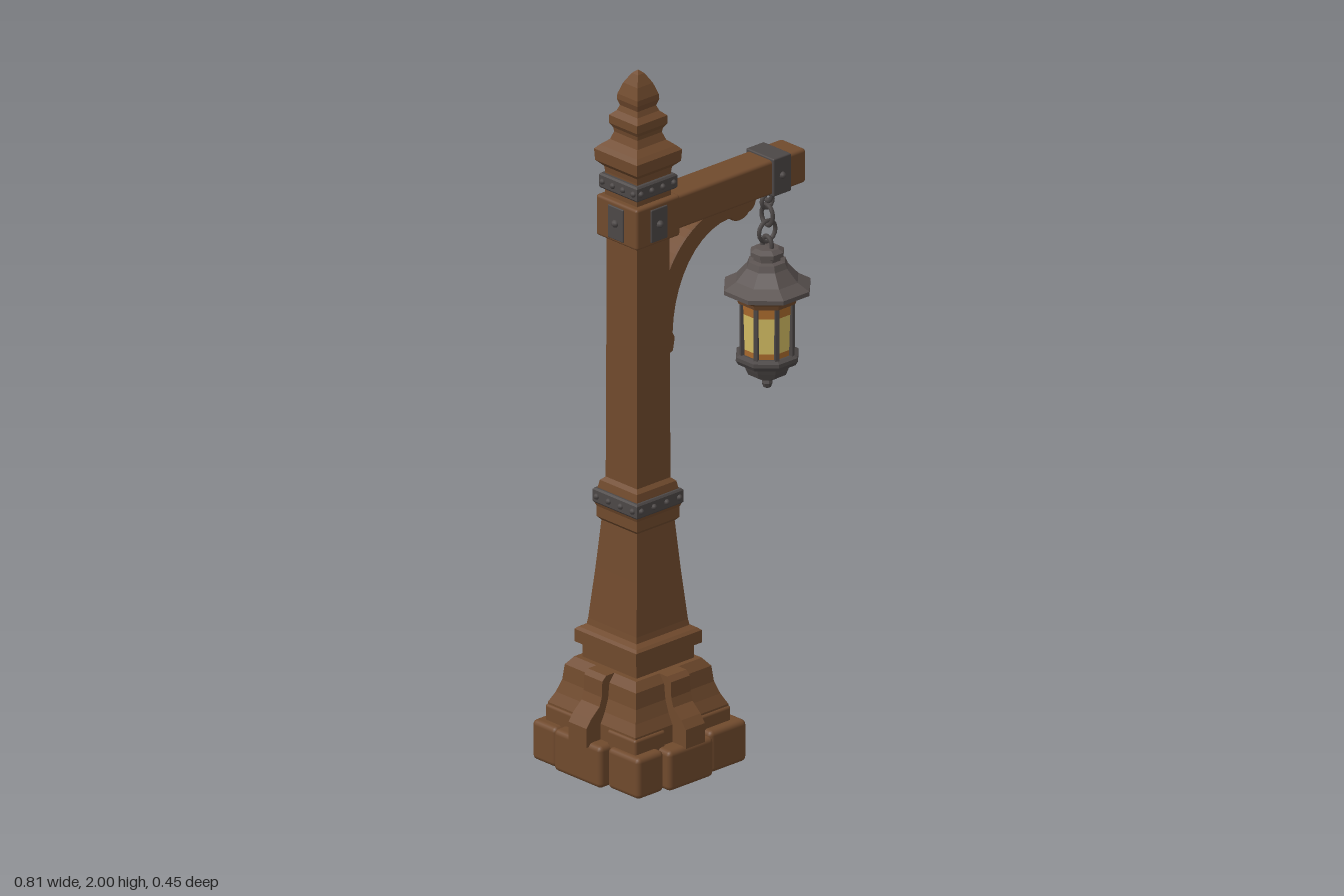
import * as THREE from 'three';
import { RoundedBoxGeometry } from 'three/addons/geometries/RoundedBoxGeometry.js';

const mat = (name, color) => Object.assign(new THREE.MeshStandardMaterial({ color }), { name });

export function createModel() {
  const wood = mat('wood', 0x704a2d);
  const metal = mat('dark metal', 0x4c4746);
  const roofMetal = mat('roof metal', 0x5a5250);
  const glass = mat('glowing glass', 0xd2bb62);
  const amber = mat('amber glass', 0xa8692c);
  const root = new THREE.Group();
  root.name = 'streetLamp';
  const POST = -0.183, LAMP = 0.29;

  function add(parent, name, geo, material, x = 0, y = 0, z = 0) {
    const m = new THREE.Mesh(geo, material);
    m.name = name;
    m.position.set(x, y, z);
    parent.add(m);
    return m;
  }
  // Flat-faced prism from a profile of [half width, height], sides facing the axes
  function prism(sides, profile) {
    const k = 1 / Math.cos(Math.PI / sides);
    const pts = profile.map(([r, y]) => new THREE.Vector2(r * k, y));
    const g = new THREE.LatheGeometry(pts, sides, Math.PI / sides).toNonIndexed();
    g.computeVertexNormals();
    return g;
  }
  // Rounded block from its limits
  function block(parent, name, material, x0, x1, y0, y1, z0, z1, r = 0.008) {
    return add(parent, name, new RoundedBoxGeometry(x1 - x0, y1 - y0, z1 - z0, 2, r), material,
      (x0 + x1) / 2, (y0 + y1) / 2, (z0 + z1) / 2);
  }
  function group(name, x) {
    const g = new THREE.Group();
    g.name = name;
    g.position.x = x;
    root.add(g);
    return g;
  }
  const rivetGeo = new THREE.SphereGeometry(0.0085, 8, 6);

  // Foundation stones, irregular three by three grid
  const base = group('base', 0);
  [
    [-0.385, -0.278, 0.115, -0.2, -0.106],
    [-0.266, -0.1, 0.12, -0.225, -0.1],
    [-0.1, 0.035, 0.113, -0.205, -0.106],
    [-0.397, -0.26, 0.12, -0.104, 0.08],
    [-0.1, 0.042, 0.118, -0.104, 0.064],
    [-0.375, -0.278, 0.118, 0.082, 0.204],
    [-0.276, -0.112, 0.115, 0.08, 0.221],
    [-0.11, 0.024, 0.12, 0.066, 0.205],
    [-0.262, -0.102, 0.11, -0.1, 0.08],
  ].forEach(([x0, x1, h, z0, z1]) => block(base, 'foundationStone', wood, x0, x1, 0, h, z0, z1, 0.014));

  // Tapered plinth and its four buttresses
  const post = group('post', POST);
  add(post, 'plinth', prism(4, [[0, 0.1], [0.17, 0.1], [0.17, 0.165], [0.155, 0.195], [0.143, 0.23],
    [0.138, 0.275], [0.12, 0.298], [0, 0.298]]), wood);
  const buttress = new THREE.Shape([[0.05, 0.11], [0.222, 0.11], [0.222, 0.165], [0.205, 0.188], [0.174, 0.215],
    [0.166, 0.24], [0.164, 0.285], [0.15, 0.298], [0.05, 0.298]].map(p => new THREE.Vector2(...p)));
  const buttressGeo = new THREE.ExtrudeGeometry(buttress, { depth: 0.07, bevelEnabled: false });
  buttressGeo.translate(0, 0, -0.035);
  for (let i = 0; i < 4; i++) {
    add(post, 'buttress', buttressGeo, wood).rotation.y = i * Math.PI / 2;
    // Low corner stones beside the buttresses
    const s = i < 2 ? -1 : 1, t = i % 2 ? 1 : -1;
    block(post, 'cornerStone', wood, s * 0.12 - 0.056, s * 0.12 + 0.056, 0.1, 0.16, t * 0.12 - 0.056, t * 0.12 + 0.056);
  }

  // Shaft with lower mouldings
  add(post, 'shaft', prism(4, [[0, 0.29], [0.105, 0.29], [0.105, 0.335], [0.12, 0.342], [0.12, 0.378], [0.112, 0.385],
    [0.097, 0.393], [0.094, 0.41], [0.08, 0.56], [0.069, 0.695], [0.078, 0.705], [0.078, 0.735], [0.082, 0.745],
    [0.076, 0.79], [0.072, 0.81], [0.061, 0.82], [0.059, 1.53], [0, 1.53]]), wood);

  // Riveted bands around the post
  function band(y0, y1, half) {
    const y = (y0 + y1) / 2;
    add(post, 'metalBand', prism(4, [[0, y0], [half - 0.004, y0], [half, y0 + 0.005], [half, y1 - 0.005],
      [half - 0.004, y1], [0, y1]]), metal);
    for (let side = 0; side < 4; side++) {
      const g = new THREE.Group();
      g.name = 'bandRivets';
      g.rotation.y = side * Math.PI / 2;
      post.add(g);
      for (let i = 0; i < 4; i++) add(g, 'rivet', rivetGeo, metal, (i - 1.5) * half * 0.54, y, half);
    }
  }
  band(0.745, 0.788, 0.086);
  band(1.657, 1.7, 0.074);

  // Head block with a plate on every free side
  block(post, 'headBlock', wood, -0.08, 0.08, 1.52, 1.638, -0.08, 0.08);
  for (let i = 0; i < 3; i++) {
    const g = new THREE.Group();
    g.name = 'headPlate';
    g.rotation.y = -i * Math.PI / 2;
    post.add(g);
    block(g, 'plate', metal, -0.03, 0.03, 1.53, 1.625, 0.076, 0.084, 0.003);
    add(g, 'plateRivet', rivetGeo, metal, 0, 1.578, 0.084).scale.setScalar(1.3);
  }

  // Finial
  add(post, 'finial', prism(4, [[0, 1.63], [0.062, 1.63], [0.062, 1.705], [0.064, 1.72], [0.081, 1.737], [0.083, 1.77],
    [0.072, 1.782], [0.053, 1.798], [0.045, 1.82], [0.047, 1.832], [0.055, 1.845], [0.055, 1.868], [0.04, 1.882],
    [0.034, 1.897], [0.04, 1.915], [0.039, 1.93], [0.028, 1.962], [0.012, 1.99], [0, 2]]), wood);

  // Beam, end strap and curved brace
  const arm = group('arm', 0);
  block(arm, 'beam', wood, -0.13, 0.388, 1.52, 1.618, -0.048, 0.048, 0.009);
  block(arm, 'endStrap', metal, 0.263, 0.328, 1.515, 1.624, -0.054, 0.054, 0.004);
  for (const s of [-1, 1]) add(arm, 'strapRivet', rivetGeo, metal, 0.295, 1.57, s * 0.054).scale.setScalar(1.2);

  const brace = new THREE.Shape();
  brace.moveTo(-0.126, 1.15);
  brace.lineTo(-0.083, 1.165);
  brace.lineTo(-0.076, 1.2);
  brace.lineTo(-0.084, 1.215);
  brace.bezierCurveTo(-0.08, 1.36, 0.0, 1.485, 0.13, 1.488);
  brace.bezierCurveTo(0.145, 1.468, 0.18, 1.465, 0.195, 1.485);
  brace.quadraticCurveTo(0.222, 1.49, 0.222, 1.524);
  brace.lineTo(0.06, 1.524);
  brace.bezierCurveTo(-0.03, 1.5, -0.09, 1.43, -0.118, 1.35);
  brace.lineTo(-0.126, 1.34);
  const braceGeo = new THREE.ExtrudeGeometry(brace, {
    depth: 0.05, bevelSize: 0.003, bevelThickness: 0.004, bevelSegments: 1, curveSegments: 10 });
  add(arm, 'brace', braceGeo, wood, 0, 0, -0.025);

  // Chain: alternating links
  const lantern = group('lantern', LAMP);
  [[1.505, 0.018, 1], [1.481, 0.02, 0], [1.44, 0.022, 1], [1.393, 0.03, 0], [1.354, 0.018, 1]].forEach(([y, r, turned]) => {
    const link = add(lantern, 'chainLink', new THREE.TorusGeometry(r, 0.006, 6, 16), metal, 0, y, 0);
    link.rotation.y = turned * Math.PI / 2;
    if (turned) link.scale.y = 1.3;
  });

  // Eight-sided roof, eaves and lower cup
  add(lantern, 'lanternRoof', prism(8, [[0.114, 1.226], [0.114, 1.238], [0.082, 1.258], [0.054, 1.293], [0.048, 1.31],
    [0.036, 1.314], [0.036, 1.322], [0.044, 1.326], [0.044, 1.338], [0.03, 1.347], [0, 1.35]]), roofMetal);
  add(lantern, 'eaves', prism(8, [[0, 1.195], [0.076, 1.195], [0.08, 1.208], [0.102, 1.22], [0.112, 1.226]]), wood);
  add(lantern, 'lanternCup', prism(8, [[0, 0.938], [0.01, 0.943], [0.014, 0.955], [0.01, 0.965], [0.026, 0.97], [0.03, 0.98],
    [0.05, 0.985], [0.056, 1.0], [0.06, 1.012], [0.076, 1.018], [0.083, 1.03], [0.082, 1.04], [0.07, 1.046], [0, 1.046]]), metal);

  // Glass in amber and bright tiers
  add(lantern, 'lowerAmberGlass', prism(8, [[0.064, 1.044], [0.064, 1.062]]), amber);
  add(lantern, 'brightGlass', prism(8, [[0.064, 1.062], [0.067, 1.165]]), glass);
  add(lantern, 'upperAmberGlass', prism(8, [[0.067, 1.165], [0.068, 1.198]]), amber);

  // Corner bars of the cage
  for (let i = 0; i < 8; i++) {
    const a = (i + 0.5) * Math.PI / 4;
    const bar = add(lantern, 'cageBar', new THREE.BoxGeometry(0.012, 0.158, 0.01), metal,
      Math.sin(a) * 0.072, 1.122, Math.cos(a) * 0.072);
    bar.rotation.y = a;
  }
  return root;
}
